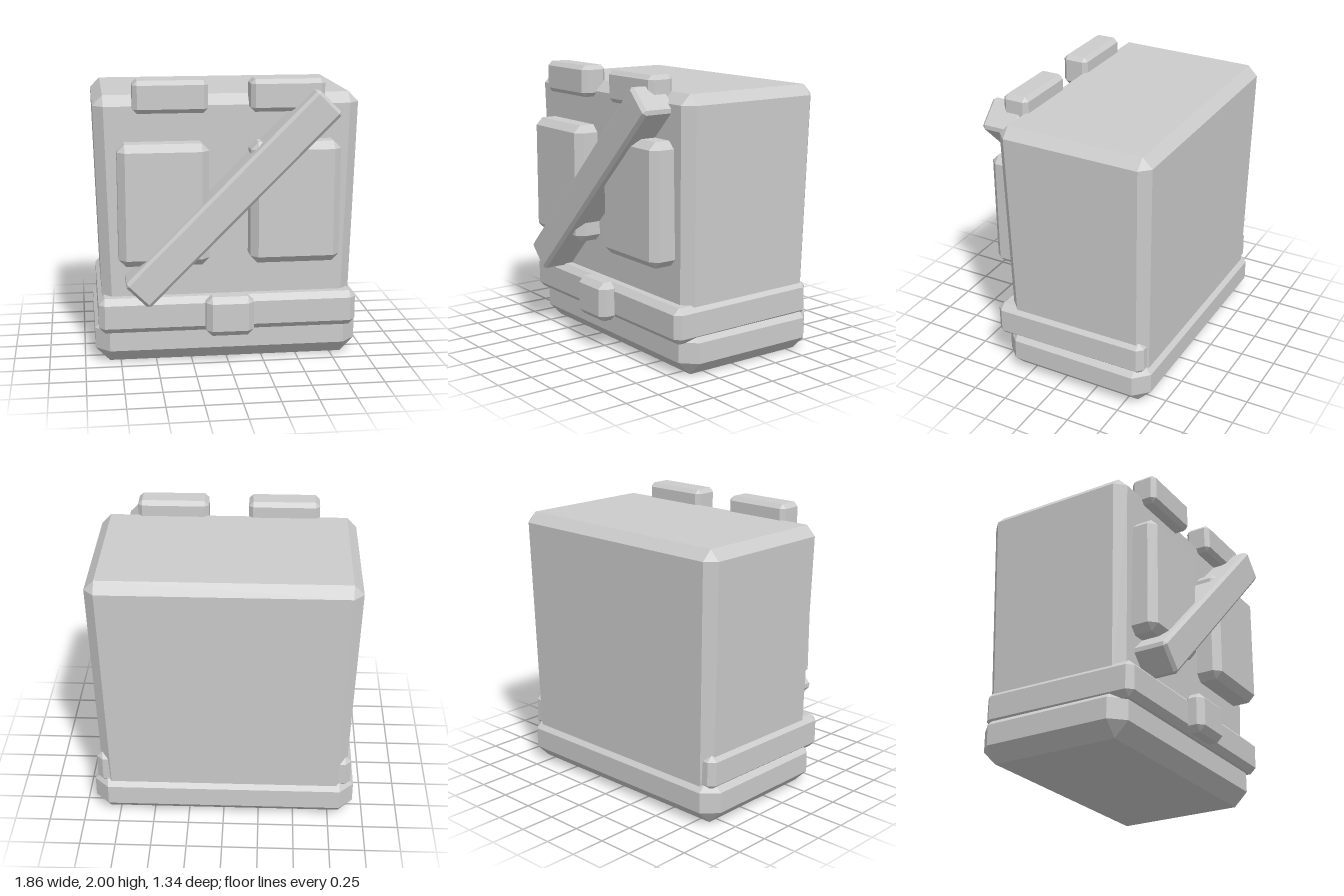
import * as THREE from 'three';
import { ConvexGeometry } from 'three/addons/geometries/ConvexGeometry.js';

const material = new THREE.MeshStandardMaterial({ color: 0xcccccc, flatShading: true });

// Box with chamfered edges, centred on its position; taper scales the bottom
function chamferBox(name, [w, h, d], [x, y, z], c, taper = 1) {
  const points = [];
  for (const sx of [-1, 1]) for (const sy of [-1, 1]) for (const sz of [-1, 1]) {
    for (let axis = 0; axis < 3; axis++) {
      // Each corner is cut into three points, one on each adjoining face
      const p = [w, h, d].map((size, i) => size / 2 - (i === axis ? 0 : c));
      const py = sy * p[1];
      const s = THREE.MathUtils.lerp(taper, 1, py / h + 0.5);
      points.push(new THREE.Vector3(sx * p[0] * s, py, sz * p[2] * s));
    }
  }
  const mesh = new THREE.Mesh(new ConvexGeometry(points), material);
  mesh.name = name;
  mesh.position.set(x, y, z);
  return mesh;
}

export function createModel() {
  const model = new THREE.Group();
  model.name = 'chunkyTorso';

  // Main block, narrowing towards the bottom
  model.add(chamferBox('body', [1.826, 1.69, 1.122], [0, 1.045, -0.105], 0.07, 0.95));

  // Heavy base slab
  model.add(chamferBox('base', [1.856, 0.345, 1.13], [0, 0.1725, -0.105], 0.1));

  // Belt, leaning very slightly forward, with its buckle
  const belt = chamferBox('belt', [1.806, 0.25, 1.155], [0, 0.372, -0.053], 0.042);
  belt.rotation.x = 0.01;
  model.add(belt);
  model.add(chamferBox('buckle', [0.332, 0.28, 0.15], [0, 0.37, 0.555], 0.042));

  // Chest pouches and shoulder clips on both sides
  for (const side of [-1, 1]) {
    const label = side > 0 ? 'left' : 'right';
    model.add(chamferBox(label + 'Pouch', [0.617, 0.84, 0.23], [side * 0.45, 1.16, 0.497], 0.05));
    model.add(chamferBox(label + 'ShoulderClip', [0.505, 0.22, 0.19], [side * 0.396, 1.89, 0.46], 0.03));
  }

  // Diagonal strap across the chest
  const strap = chamferBox('strap', [1.855, 0.235, 0.26], [0.01, 1.203, 0.54], 0.022);
  strap.rotation.z = Math.PI / 4;
  model.add(strap);

  return model;
}
